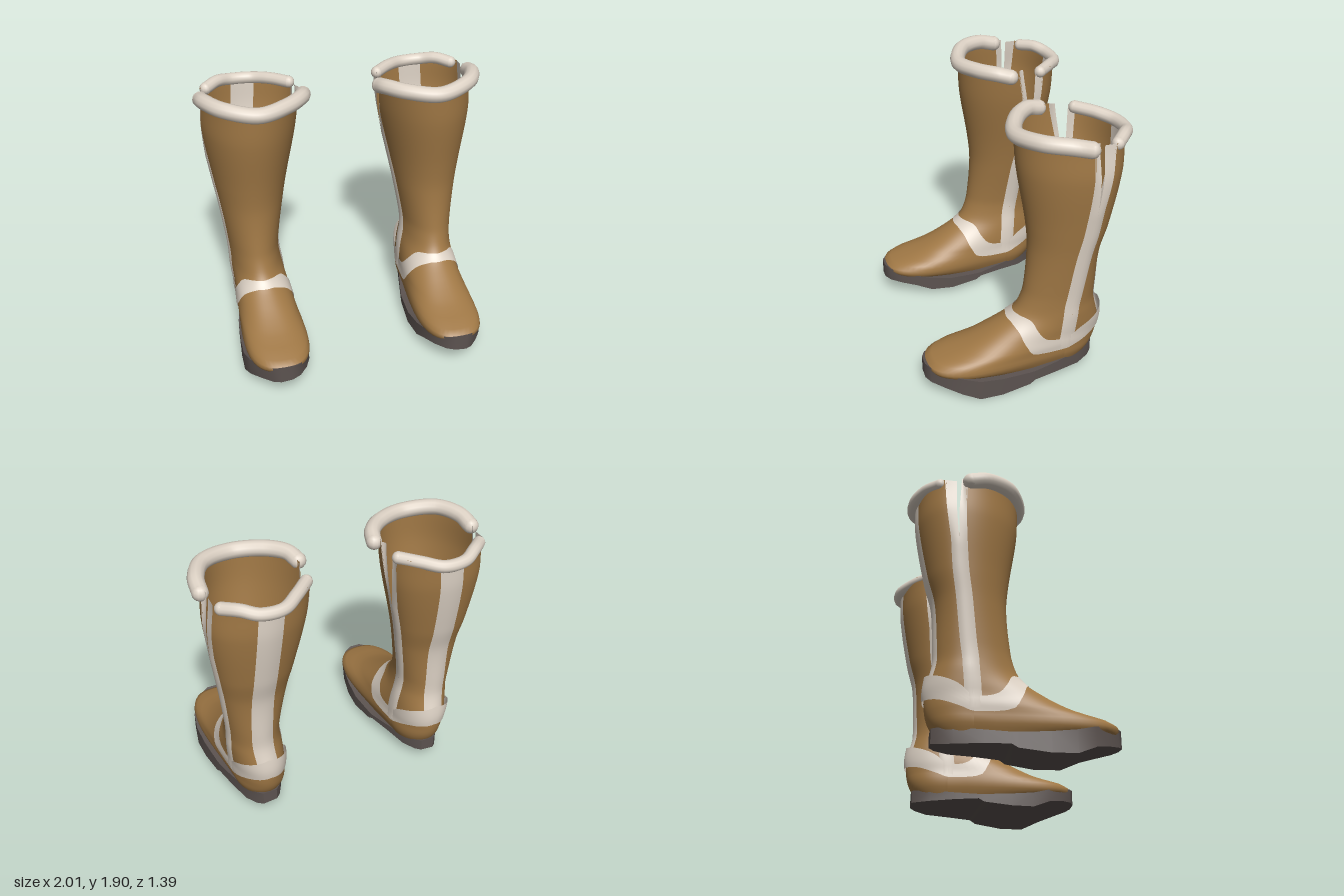
import * as THREE from 'three';
import { mergeGeometries, toCreasedNormals } from 'three/addons/utils/BufferGeometryUtils.js';

const material = (name, color, side = THREE.FrontSide) => {
  const m = new THREE.MeshStandardMaterial({ color, side });
  m.name = name;
  return m;
};

// Horizontal slices of the boot: y, centre x, half width, side-seam z, front z, back z, front squareness, forefoot flare
const SLICES = [
  [0.11, 0.635, 0.145, -0.26, 0.440, -0.45, 2.4, 0.62],
  [0.16, 0.635, 0.166, -0.26, 0.610, -0.49, 2.6, 0.80],
  [0.20, 0.635, 0.179, -0.26, 0.668, -0.515, 2.6, 0.80],
  [0.25, 0.635, 0.182, -0.26, 0.650, -0.535, 2.5, 0.70],
  [0.30, 0.640, 0.183, -0.26, 0.460, -0.545, 2.4, 0.54],
  [0.36, 0.640, 0.183, -0.27, 0.315, -0.55, 2.3, 0.38],
  [0.42, 0.645, 0.185, -0.275, 0.205, -0.545, 2.2, 0.20],
  [0.48, 0.650, 0.185, -0.28, 0.110, -0.53, 2.1, 0.05],
  [0.53, 0.655, 0.183, -0.285, 0.058, -0.515, 2, 0],
  [0.60, 0.660, 0.178, -0.29, 0.020, -0.50, 2, 0],
  [0.70, 0.663, 0.182, -0.305, -0.008, -0.50, 2, 0],
  [1.00, 0.655, 0.226, -0.34, -0.035, -0.515, 2, 0],
  [1.20, 0.650, 0.262, -0.37, -0.020, -0.565, 2, 0],
  [1.57, 0.634, 0.326, -0.395, 0.038, -0.63, 2, 0],
  [1.78, 0.618, 0.335, -0.39, 0.050, -0.64, 2, 0],
  [1.86, 0.616, 0.337, -0.39, 0.050, -0.645, 2, 0],
];

// Ankle band edges: angle from the side seam (back to front), lower y, upper y
const BAND = [
  [-1.58, 0.36, 0.52], [-0.8, 0.33, 0.475], [-0.3, 0.28, 0.42], [0, 0.25, 0.35], [0.2, 0.27, 0.365],
  [0.45, 0.35, 0.435], [0.8, 0.435, 0.51], [1.25, 0.48, 0.53], [1.58, 0.485, 0.53],
];

// Sole stations: z, inner x, outer x, top y, bottom y
const SOLE = [
  [0.69, 0.63, 0.63, 0.18, 0.18],
  [0.69, 0.59, 0.67, 0.238, 0.12],
  [0.66, 0.53, 0.72, 0.228, 0.11],
  [0.58, 0.47, 0.785, 0.208, 0.09],
  [0.48, 0.43, 0.85, 0.19, 0.06],
  [0.36, 0.41, 0.873, 0.155, 0.005],
  [0.20, 0.395, 0.868, 0.135, 0],
  [0.00, 0.41, 0.85, 0.125, 0.025],
  [-0.04, 0.415, 0.845, 0.125, 0.05],
  [-0.20, 0.455, 0.815, 0.14, 0.055],
  [-0.38, 0.50, 0.77, 0.16, 0.055],
  [-0.47, 0.55, 0.72, 0.17, 0.065],
  [-0.505, 0.585, 0.685, 0.175, 0.075],
  [-0.505, 0.635, 0.635, 0.12, 0.12],
];

// Smooth interpolation of a table by its first column
function sample(rows, t) {
  let i = 0;
  while (i < rows.length - 2 && t > rows[i + 1][0]) i++;
  const a = rows[i], b = rows[i + 1], h = b[0] - a[0];
  const k = THREE.MathUtils.clamp((t - a[0]) / h, 0, 1);
  const before = rows[Math.max(i - 1, 0)], after = rows[Math.min(i + 2, rows.length - 1)];
  return a.map((va, c) => {
    const ma = (b[c] - before[c]) / (b[0] - before[0]) * h;
    const mb = (after[c] - va) / (after[0] - a[0]) * h;
    const k2 = k * k, k3 = k2 * k;
    return va * (2 * k3 - 3 * k2 + 1) + ma * (k3 - 2 * k2 + k) + b[c] * (3 * k2 - 2 * k3) + mb * (k3 - k2);
  });
}

const BACK_POWER = 2;

// Point on the boot skin at an angle (0 outer seam, PI/2 front) and height
function skin(angle, y, offset = 0) {
  const [, xc, w, zc, zf, zb, p, flare] = sample(SLICES, y);
  const s = Math.sin(angle), c = Math.cos(angle);
  const e = 2 / (s >= 0 ? p : BACK_POWER);
  const dx = Math.sign(c) * Math.abs(c) ** e * w * (1 + flare * Math.max(s, 0));
  const dz = Math.abs(s) ** e * (s >= 0 ? zf - zc : zb - zc);
  return [xc + dx + offset * c, y, zc + dz + offset * s];
}

// Angle from the seam that lies a given distance in front of or behind it
function seamAngle(y, distance, front) {
  const [, , , zc, zf, zb, p] = sample(SLICES, y);
  const length = front ? zf - zc : zc - zb;
  return Math.asin(Math.min(1, (distance / length) ** ((front ? p : BACK_POWER) / 2)));
}

// Near and far edges of a seam strip, measured from the seam; the inner slit opens wider
function stripEdges(y, front, outer) {
  const open = outer ? 0.018 : front ? 0.065 : 0.035;
  const near = Math.max(0, (y - 1.38) / 0.45) * open;
  const far = front ? Math.max(0.054, near + 0.035) : 0.05 + near * (outer ? 2.5 : 1.2);
  return [near, far];
}

// Grid surface from a point rule; side -1 mirrors it
function patch(point, nu, nv, side) {
  const pos = [], index = [];
  for (let i = 0; i <= nu; i++) for (let j = 0; j <= nv; j++) {
    const [x, y, z] = point(i / nu, j / nv);
    pos.push(x * side, y, z);
    if (i === nu || j === nv) continue;
    const a = i * (nv + 1) + j, b = a + nv + 1;
    index.push(...(side > 0 ? [a, a + 1, b, b, a + 1, b + 1] : [a, b, a + 1, b, b + 1, a + 1]));
  }
  const g = new THREE.BufferGeometry();
  g.setAttribute('position', new THREE.Float32BufferAttribute(pos, 3));
  g.setIndex(index);
  g.computeVertexNormals();
  return g;
}

// Rolled fur with rounded ends
function furRoll(points, radius, side) {
  const pts = points.map(([x, y, z]) => new THREE.Vector3(x * side, y, z));
  const parts = [new THREE.TubeGeometry(new THREE.CatmullRomCurve3(pts), 40, radius, 12)];
  for (const end of [pts[0], pts[pts.length - 1]]) {
    parts.push(new THREE.SphereGeometry(radius, 12, 8).translate(end.x, end.y, end.z));
  }
  return mergeGeometries(parts);
}

function makeBoot(side, mats) {
  const boot = new THREE.Group();
  const add = (name, geometry, mat) => {
    const mesh = new THREE.Mesh(geometry, mat);
    mesh.name = name;
    boot.add(mesh);
  };
  const lerp = THREE.MathUtils.lerp;

  for (const front of [true, false]) {
    const half = front ? 'front' : 'back', top = front ? 1.84 : 1.82;

    // Leather half, closed below the ankle band and tucked under the seam strips above it
    const edge = (y, outer) => seamAngle(y, y < 0.31 ? 0 : stripEdges(y, front, outer)[1] - 0.006, front);
    add(half + 'Leather', patch((u, v) => {
      const y = lerp(0.11, top, v), a = edge(y, true), b = Math.PI - edge(y, false);
      return skin(front ? lerp(a, b, u) : -lerp(b, a, u), y);
    }, 36, 70, side), mats.leather);

    // Fur strips along the seams, folding inwards at the slits
    for (const outer of [true, false]) {
      add(half + 'SeamStrip', patch((u, v) => {
        const y = lerp(0.27, top, v), [near, far] = stripEdges(y, front, outer);
        const across = front === outer ? u : 1 - u;
        const a = seamAngle(y, lerp(near, far, across), front) * (front ? 1 : -1);
        const fold = 0.008 - Math.max(0, y - 1.35) * 0.07;
        return skin(outer ? a : Math.PI - a, y, 0.003 + fold * (1 - across * across));
      }, 6, 50, side), mats.fur);
    }
  }

  // Fur strip down the back of the leg, outside and inside
  for (const lining of [false, true]) {
    add(lining ? 'backLining' : 'backStrip', patch((u, v) => {
      const y = lerp(0.45, 1.81, v);
      const spread = Math.asin(lerp(0.072, 0.085, v) / sample(SLICES, y)[2]);
      const offset = lining ? -0.004 : 0.003 + 0.006 * Math.sin(Math.PI * u);
      return skin(Math.PI * 1.5 + lerp(-spread, spread, u), y, offset);
    }, 8, 40, side), mats.fur);
  }

  // Ankle band, standing out a little at the heel
  add('ankleBand', patch((u, v) => {
    const a = u * Math.PI * 2, s = Math.sin(a);
    const [, low, high] = sample(BAND, Math.asin(s));
    return skin(a, lerp(low, high, v), 0.007 + Math.max(0, -s) * (0.004 + 0.024 * v));
  }, 80, 6, side), mats.fur);

  // Fur cuffs
  add('frontCuff', furRoll([
    [0.95, 1.812, -0.315], [0.935, 1.84, -0.2], [0.84, 1.845, -0.04], [0.62, 1.82, 0.05],
    [0.41, 1.83, -0.03], [0.30, 1.83, -0.14], [0.27, 1.81, -0.225],
  ], 0.054, side), mats.fur);
  add('backCuff', furRoll([
    [0.89, 1.80, -0.51], [0.80, 1.81, -0.59], [0.70, 1.79, -0.65], [0.55, 1.785, -0.65],
    [0.43, 1.80, -0.565], [0.32, 1.805, -0.46],
  ], 0.042, side), mats.fur);

  // Sole, tilted up towards the inner side
  const last = SOLE.length - 1;
  add('sole', toCreasedNormals(patch((u, v) => {
    const [z, inner, outer, top, bottom] = SOLE[Math.round(u * last)];
    const lift = (outer - inner) * 0.1;
    return [
      [inner, top, z], [outer, top, z], [outer, bottom, z], [inner, bottom + lift, z], [inner, top, z],
    ][Math.round(v * 4)];
  }, last, 4, side), 0.7), mats.sole);

  return boot;
}

export function createModel() {
  const mats = {
    leather: material('tan leather', 0xa07845, THREE.DoubleSide),
    fur: material('cream fur', 0xddd2c5, THREE.DoubleSide),
    sole: material('dark sole', 0x5c5350),
  };
  const model = new THREE.Group();
  model.name = 'boots';
  for (const side of [1, -1]) {
    const boot = makeBoot(side, mats);
    boot.name = side > 0 ? 'leftBoot' : 'rightBoot';
    model.add(boot);
  }
  return model;
}
